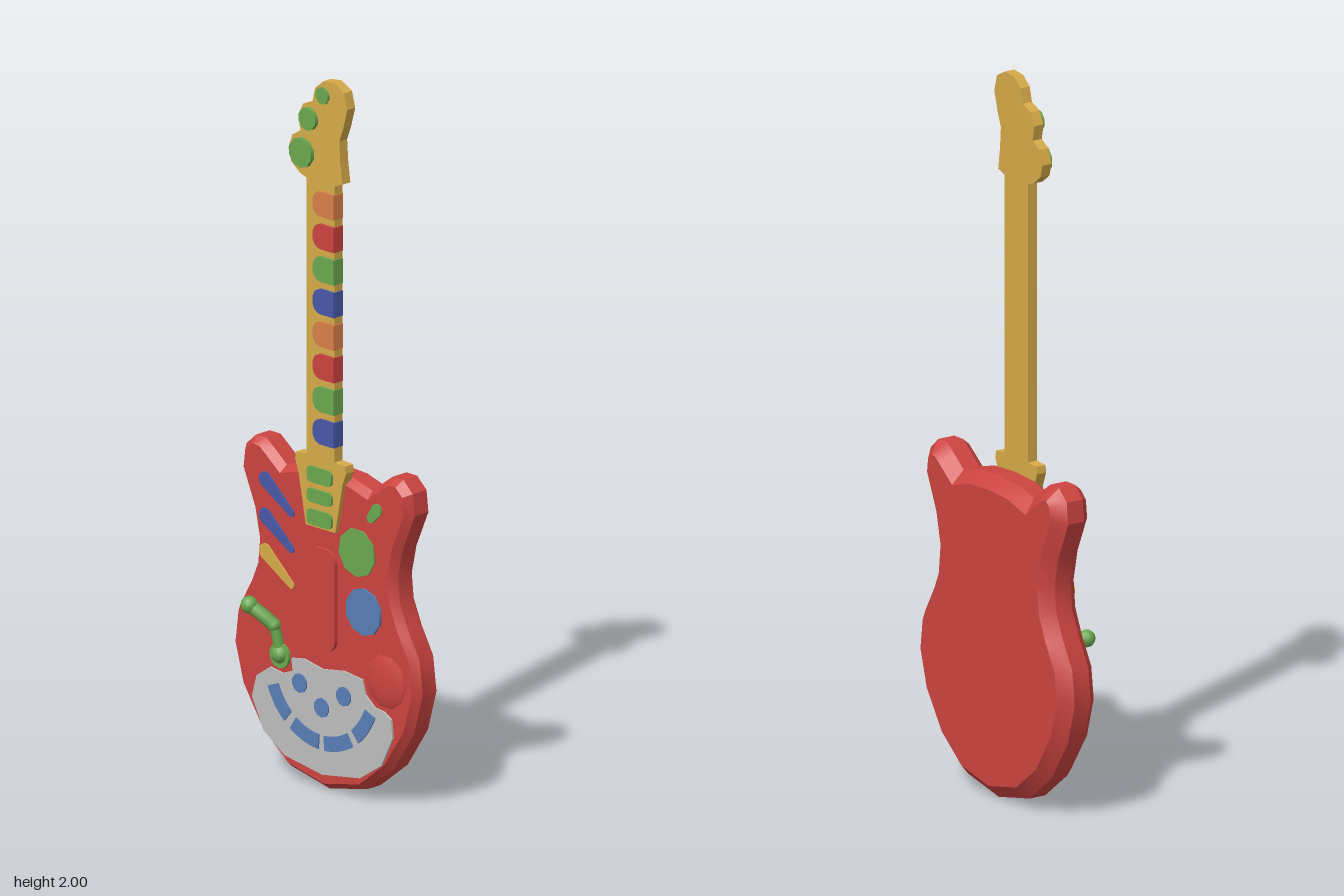
import * as THREE from 'three';
import { toCreasedNormals } from 'three/addons/utils/BufferGeometryUtils.js';

const paint = (name, color) => {
  const m = new THREE.MeshStandardMaterial({ color });
  m.name = name;
  return m;
};
const V2 = (p) => new THREE.Vector2(p[0], p[1]);
const mirror = (half) => [
  ...half,
  ...half.filter((p) => p[0] > 0).reverse().map(([x, y]) => [-x, y]),
];

// Moves a counter-clockwise outline inwards by d
function inset(points, d) {
  const n = points.length;
  return points.map((p, i) => {
    const a = p.clone().sub(points[(i + n - 1) % n]).normalize();
    const b = points[(i + 1) % n].clone().sub(p).normalize();
    const normal = new THREE.Vector2(a.y + b.y, -a.x - b.x).normalize();
    const miter = Math.max(0.75, normal.x * a.y - normal.y * a.x);
    return p.clone().addScaledVector(normal, -d / miter);
  });
}

// Closed solid from inset copies of an outline, ordered back to front
function bevelledSolid(outline, rings) {
  const n = outline.length, pos = [], index = [];
  for (const [z, d] of rings) inset(outline, d).forEach((p) => pos.push(p.x, p.y, z));
  for (let r = 0; r < rings.length - 1; r++) {
    for (let i = 0; i < n; i++) {
      const a = r * n + i, b = r * n + (i + 1) % n;
      index.push(a, b, b + n, a, b + n, a + n);
    }
  }
  const last = (rings.length - 1) * n;
  for (const [a, b, c] of THREE.ShapeUtils.triangulateShape(inset(outline, rings[0][1]), [])) index.push(a, c, b);
  for (const [a, b, c] of THREE.ShapeUtils.triangulateShape(inset(outline, rings[rings.length - 1][1]), []))
    index.push(last + a, last + b, last + c);
  const g = new THREE.BufferGeometry();
  g.setAttribute('position', new THREE.Float32BufferAttribute(pos, 3));
  g.setIndex(index);
  return toCreasedNormals(g, 0.5);
}

// Flat plate of a shape between two depths
function plate(shape, z0, z1) {
  const g = new THREE.ExtrudeGeometry(shape, { depth: z1 - z0, bevelEnabled: false, curveSegments: 5 });
  return g.translate(0, 0, z0);
}
const polygon = (points) => new THREE.Shape(points.map(V2));

// Rectangle with separate corner radii on the left and right
function roundedRect(x0, y0, x1, y1, rl, rr) {
  const s = new THREE.Shape();
  s.moveTo(x0 + rl, y0).lineTo(x1 - rr, y0);
  if (rr) s.absarc(x1 - rr, y0 + rr, rr, -Math.PI / 2, 0).absarc(x1 - rr, y1 - rr, rr, 0, Math.PI / 2);
  else s.lineTo(x1, y1);
  s.lineTo(x0 + rl, y1);
  s.absarc(x0 + rl, y1 - rl, rl, Math.PI / 2, Math.PI).absarc(x0 + rl, y0 + rl, rl, Math.PI, Math.PI * 1.5);
  return s;
}

// Tapered drop with a round end of radius ra at a and rb at b
function drop(a, b, ra, rb) {
  const t = Math.atan2(b[1] - a[1], b[0] - a[0]), h = Math.PI / 2;
  const s = new THREE.Shape();
  s.absarc(a[0], a[1], ra, t + h, t + 3 * h);
  s.absarc(b[0], b[1], rb, t - h, t + h);
  return s;
}

function disc(x, y, r, z0, z1, sides) {
  return new THREE.CylinderGeometry(r, r, z1 - z0, sides)
    .rotateX(Math.PI / 2).translate(x, y, (z0 + z1) / 2);
}

export function createModel() {
  const guitar = new THREE.Group();
  guitar.name = 'toyGuitar';
  const red = paint('red', 0xcc4440), gold = paint('gold', 0xd6aa48);
  const green = paint('green', 0x6aa84f), blue = paint('blue', 0x4858a8);
  const sky = paint('steel blue', 0x587fb5), orange = paint('orange', 0xd88048);
  const grey = paint('light grey', 0xbebebe);
  const add = (name, geometry, material, parent = guitar) => {
    const m = new THREE.Mesh(geometry, material);
    m.name = name;
    parent.add(m);
    return m;
  };
  const group = (name) => {
    const g = new THREE.Group();
    g.name = name;
    guitar.add(g);
    return g;
  };

  // Body with bevelled front and back edges
  const bodyOutline = mirror([
    [0, 0.005], [0.14, 0.035], [0.24, 0.115], [0.315, 0.23], [0.347, 0.345], [0.335, 0.44],
    [0.29, 0.52], [0.262, 0.585], [0.255, 0.655], [0.272, 0.735], [0.317, 0.84], [0.31, 0.9],
    [0.275, 0.932], [0.235, 0.932], [0.205, 0.91], [0.16, 0.875], [0.09, 0.895], [0, 0.9],
  ]).map(V2);
  add('body', bevelledSolid(bodyOutline, [[-0.09, 0.035], [-0.057, 0], [-0.005, 0], [0.018, 0.018]]), red);

  // Neck, heel and headstock
  add('neck', plate(roundedRect(-0.053, 0.9, 0.053, 1.74, 0.001, 0), 0, 0.03), gold);
  add('heel', plate(polygon(mirror([[0.055, 0.74], [0.082, 0.88], [0.095, 0.915], [0.092, 0.935], [0.05, 0.938]])), 0, 0.03), gold);
  add('headstock', plate(polygon([
    [-0.05, 1.71], [0.05, 1.71], [0.082, 1.722], [0.074, 1.78], [0.07, 1.84], [0.085, 1.88], [0.1, 1.935],
    [0.088, 1.98], [0.05, 2.0], [0.01, 1.995], [-0.02, 1.97], [-0.03, 1.93], [-0.065, 1.915], [-0.083, 1.88],
    [-0.075, 1.838], [-0.105, 1.82], [-0.12, 1.78], [-0.11, 1.745], [-0.078, 1.72],
  ]), 0, 0.03), gold);

  // Tuning buttons
  const tuners = group('tuningButtons');
  [[-0.065, 1.78, 0.042, 0.042], [-0.04, 1.88, 0.032, 0.042], [0.01, 1.955, 0.024, 0.036]].forEach(
    ([x, y, r, z]) => add('tuningButton', disc(x, y, r, 0.02, z, 10), green, tuners));

  // Fret keys wrapping over the edge of the neck
  const frets = group('fretKeys');
  for (let i = 0; i < 8; i++) {
    const y = 1.652 - i * 0.0911;
    add('fretKey', plate(roundedRect(-0.022, y - 0.035, 0.057, y + 0.035, 0.03, 0), 0.002, 0.038),
      [orange, red, green, blue][i % 4], frets);
  }

  // Keys on the heel
  const heelKeys = group('heelKeys');
  for (const [y0, y1] of [[0.866, 0.91], [0.81, 0.848], [0.747, 0.79]])
    add('heelKey', plate(roundedRect(-0.046, y0, 0.046, y1, 0.014, 0.014), 0.025, 0.037), green, heelKeys);

  // Strum panel and painted shapes on the body
  add('strumPanel', plate(roundedRect(-0.052, 0.397, 0.052, 0.685, 0.04, 0.04), 0.015, 0.029), red);
  const streaks = group('streaks');
  [[0.826, blue], [0.725, blue], [0.625, gold]].forEach(([y, m]) =>
    add('streak', plate(drop([-0.215, y], [-0.118, y - 0.072], 0.022, 0.01), 0.016, 0.023), m, streaks));
  add('smallGreenMark', plate(drop([0.2, 0.835], [0.178, 0.808], 0.018, 0.013), 0.016, 0.023), green);
  add('greenDisc', disc(0.127, 0.7, 0.068, 0.016, 0.023, 9), green);
  add('blueDisc', disc(0.153, 0.54, 0.066, 0.016, 0.025, 10), sky);

  // Domed red knob
  const dome = new THREE.SphereGeometry(1, 10, 3, 0, Math.PI * 2, 0, Math.PI / 2)
    .rotateX(Math.PI / 2).scale(0.08, 0.08, 0.017).translate(0.232, 0.362, 0.014);
  add('redKnob', dome, red);

  // Grey control panel
  add('controlPanel', plate(polygon([
    [0, 0.05], [0.14, 0.072], [0.22, 0.125], [0.262, 0.21], [0.257, 0.262], [0.23, 0.278], [0.195, 0.282],
    [0.16, 0.31], [0.148, 0.35], [0.08, 0.358], [0, 0.345], [-0.07, 0.358], [-0.115, 0.35], [-0.11, 0.315],
    [-0.15, 0.3], [-0.195, 0.307], [-0.245, 0.272], [-0.262, 0.21], [-0.22, 0.125], [-0.14, 0.072],
  ]), 0.015, 0.024), grey);
  const pads = group('controlPads');
  for (const [x, y] of [[-0.082, 0.288], [0.082, 0.288], [0, 0.238]])
    add('roundPad', disc(x, y, 0.027, 0.02, 0.028, 10), sky, pads);
  for (const [a, b] of [[202, 230], [237, 267], [273, 303], [310, 338]]) {
    const s = new THREE.Shape(), r = THREE.MathUtils.degToRad;
    s.absarc(0, 0.335, 0.215, r(a), r(b), false).absarc(0, 0.335, 0.174, r(b), r(a), true);
    add('arcPad', plate(s, 0.02, 0.028), sky, pads);
  }

  // Tremolo arm: ball base, bent rod and thick grip
  const arm = group('tremoloArm');
  const ball = (x, y, z, r) => add('armBall', new THREE.SphereGeometry(r, 12, 8).translate(x, y, z), green, arm);
  const rod = (name, points, r) => add(name, new THREE.TubeGeometry(
    new THREE.CatmullRomCurve3(points.map((p) => new THREE.Vector3(...p))), 8, r, 8), green, arm);
  add('armBase', disc(-0.158, 0.348, 0.036, 0.014, 0.027, 12), green, arm);
  ball(-0.158, 0.352, 0.02, 0.027);
  rod('armRod', [[-0.158, 0.35, 0.022], [-0.164, 0.395, 0.026], [-0.172, 0.43, 0.032]], 0.015);
  ball(-0.172, 0.432, 0.032, 0.019);
  rod('armGrip', [[-0.172, 0.432, 0.032], [-0.2, 0.458, 0.048], [-0.23, 0.48, 0.063]], 0.019);
  ball(-0.232, 0.482, 0.064, 0.024);

  return guitar;
}
